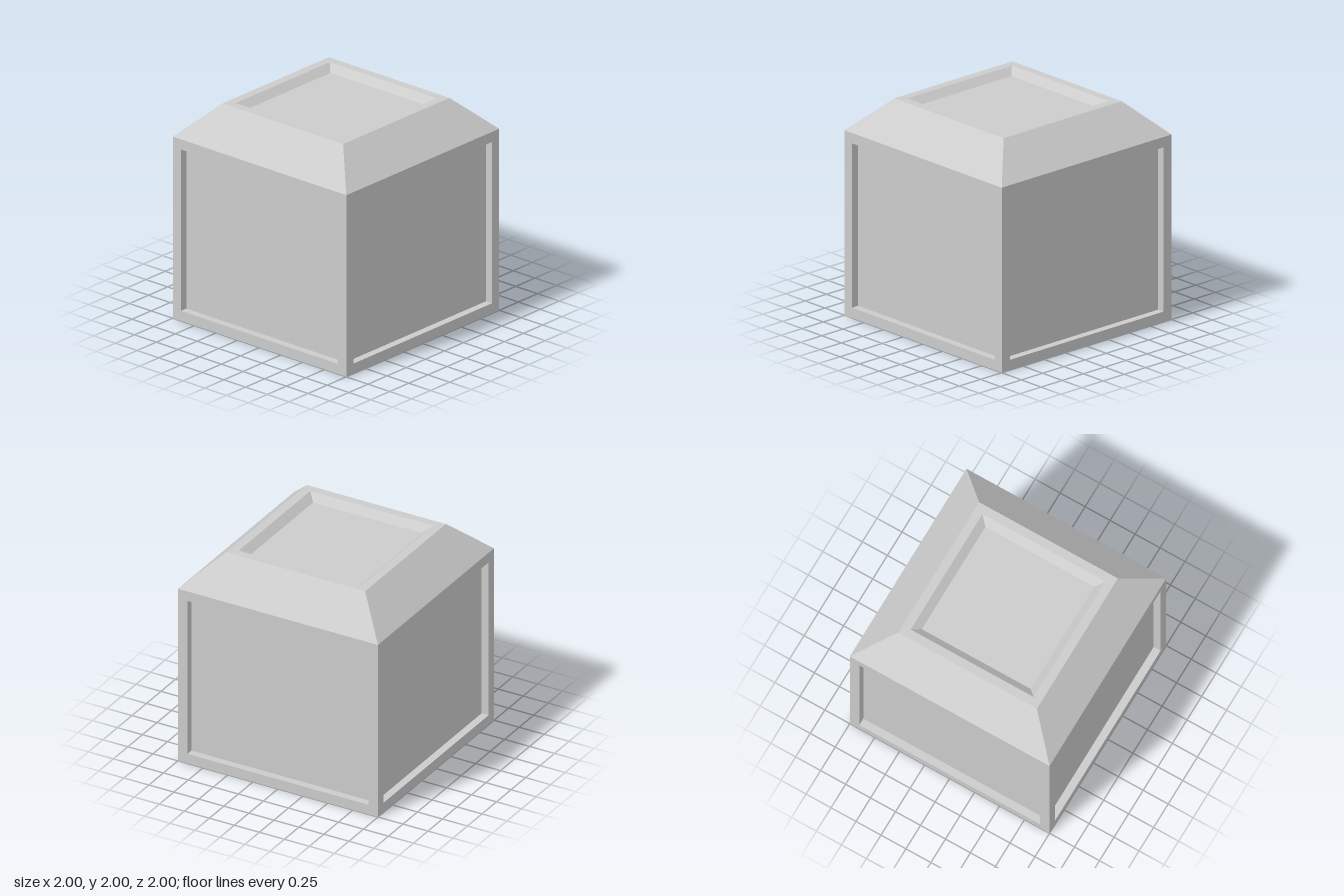
import * as THREE from 'three';

const material = new THREE.MeshStandardMaterial({ color: 0xcccccc, flatShading: true });

// Joins concentric rectangles [halfWidth, halfHeight, z], outermost first,
// into a surface facing +z; optionally closes the innermost one.
function steppedPanel(name, rings, closed = true) {
  const positions = [];
  const quad = (a, b, c, d) => positions.push(...a, ...b, ...c, ...a, ...c, ...d);
  const loops = rings.map(([w, h, z]) => [[-w, -h, z], [w, -h, z], [w, h, z], [-w, h, z]]);
  for (let r = 0; r < loops.length - 1; r++) {
    const outer = loops[r], inner = loops[r + 1];
    for (let i = 0; i < 4; i++) {
      const j = (i + 1) % 4;
      quad(outer[i], outer[j], inner[j], inner[i]);
    }
  }
  if (closed) quad(...loops[loops.length - 1]);
  const geometry = new THREE.BufferGeometry();
  geometry.setAttribute('position', new THREE.Float32BufferAttribute(positions, 3));
  geometry.computeVertexNormals();
  const mesh = new THREE.Mesh(geometry, material);
  mesh.name = name;
  return mesh;
}

export function createModel() {
  const model = new THREE.Group();
  model.name = 'panelledBlock';
  const wallHeight = 1.7, halfWall = wallHeight / 2;

  // Four walls, each with a straight-sided recess
  ['frontWall', 'leftWall', 'backWall', 'rightWall'].forEach((name, i) => {
    const wall = steppedPanel(name, [
      [1, halfWall, 1], [0.905, 0.755, 1], [0.905, 0.755, 0.93],
    ]);
    wall.position.y = halfWall;
    wall.rotation.y = i * Math.PI / 2;
    model.add(wall);
  });

  // Sloping shoulders
  const shoulders = steppedPanel('shoulders', [[1, 1, wallHeight], [0.695, 0.695, 2]], false);
  shoulders.rotation.x = -Math.PI / 2;
  model.add(shoulders);

  // Top with a bevelled recess
  const top = steppedPanel('topPanel', [
    [0.695, 0.695, 2], [0.615, 0.615, 2], [0.545, 0.545, 1.94],
  ]);
  top.rotation.x = -Math.PI / 2;
  model.add(top);

  // Underside with a shallow recess
  const base = steppedPanel('basePanel', [
    [1, 1, 0], [0.92, 0.92, 0], [0.92, 0.92, -0.05],
  ]);
  base.rotation.x = Math.PI / 2;
  model.add(base);

  return model;
}
